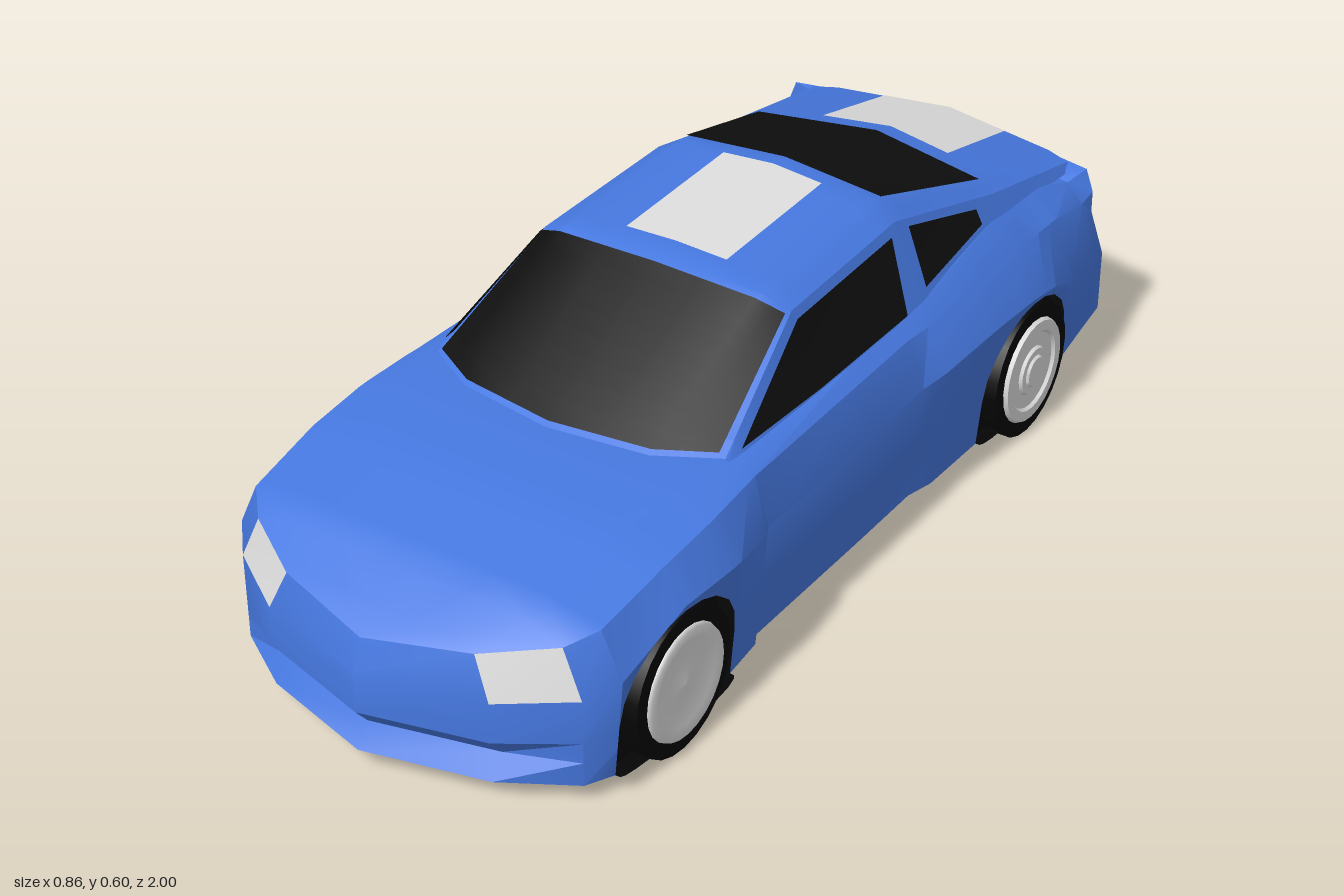
import * as THREE from 'three';
import { toCreasedNormals } from 'three/addons/utils/BufferGeometryUtils.js';

const mat = (name, color, side = THREE.FrontSide) => {
  const m = new THREE.MeshStandardMaterial({ color, side });
  m.name = name;
  return m;
};
const lerp = THREE.MathUtils.lerp;
const mirror = ([x, y, z]) => [-x, y, z];

// Body side stations: z, sill y, waist x y, shoulder x y, belt x y, centre y
const SIDE = [
  [0.78, 0.04, 0.412, 0.25, 0.37, 0.335, 0.26, 0.352, 0.358],
  [0.64, 0.04, 0.422, 0.30, 0.378, 0.362, 0.26, 0.38, 0.386],
  [0.50, 0.045, 0.425, 0.295, 0.38, 0.375, 0.29, 0.392, 0.398],
  [0.38, 0.045, 0.412, 0.285, 0.372, 0.38, 0.33, 0.395, 0.40],
  [0.355, 0.045, 0.398, 0.285, 0.37, 0.38, 0.335, 0.395, 0.40],
  [0.0, 0.045, 0.398, 0.285, 0.362, 0.38, 0.335, 0.402, 0.40],
  [-0.17, 0.045, 0.397, 0.29, 0.362, 0.385, 0.335, 0.408, 0.40],
  [-0.23, 0.045, 0.412, 0.30, 0.368, 0.385, 0.335, 0.412, 0.40],
  [-0.42, 0.048, 0.417, 0.305, 0.37, 0.392, 0.325, 0.43, 0.41],
  [-0.56, 0.055, 0.418, 0.30, 0.37, 0.392, 0.31, 0.44, 0.41],
  [-0.73, 0.065, 0.411, 0.27, 0.366, 0.385, 0.30, 0.432, 0.41],
  [-0.85, 0.073, 0.393, 0.23, 0.36, 0.36, 0.325, 0.40, 0.41],
];
const AXLES = [0.64, -0.56];
const ARCH_W = 0.165, ARCH_Y = 0.145;
const ROWS = [0, 0.27, 0.5, 1];

function station(z) {
  let i = 0;
  while (i < SIDE.length - 2 && z < SIDE[i + 1][0]) i++;
  const t = (z - SIDE[i][0]) / (SIDE[i + 1][0] - SIDE[i][0]);
  return SIDE[i].map((v, k) => lerp(v, SIDE[i + 1][k], t));
}

// One upright strip of the body side, its foot raised over a wheel if arched
function sideColumn(z, arched) {
  const [, yb, xW, yW, xS, yS, xB, yB, yC] = station(z);
  let foot = yb;
  if (arched) {
    const d = Math.min(...AXLES.map(a => Math.abs(z - a))) / ARCH_W;
    foot = ARCH_Y + 0.145 * Math.sqrt(Math.max(0, 1 - d * d));
  }
  const pts = ROWS.map(t => {
    const y = lerp(foot, yW, t);
    return [xW - 0.09 * (yW - y), y, z];
  });
  pts.push([xS, yS, z], [xB, yB, z], [xB * 0.55, lerp(yB, yC, 0.7), z], [0, yC, z]);
  return { pts, base: [pts[0][0], yb, z] };
}

// Nose or tail column: waist point, sill height, intake depth, then four upper points
function endColumn(w, yb, recess, upper, part) {
  const pts = ROWS.map((t, i) => [w[0], lerp(yb, w[1], t), w[2] - (i === 1 ? recess : 0)]);
  return { pts: [...pts, ...upper], base: pts[0], part };
}

function bodyColumns() {
  const tip = [0, 0.265, 0.975], rim = [0, 0.425, -0.952];
  const cols = [
    endColumn([0, 0.205, 1], 0.045, 0.03, [tip, tip, tip, tip]),
    endColumn([0.235, 0.205, 0.937], 0.042, 0.03,
      [[0.2, 0.285, 0.925], [0.14, 0.295, 0.92], [0.07, 0.296, 0.92], [0, 0.297, 0.922]], 'headlight'),
    endColumn([0.365, 0.215, 0.857], 0.04, 0,
      [[0.325, 0.305, 0.852], [0.25, 0.325, 0.848], [0.13, 0.33, 0.85], [0, 0.332, 0.852]]),
  ];
  const list = SIDE.map(s => [s[0], false]);
  for (const a of AXLES) {
    for (let i = list.length - 1; i >= 0; i--)
      if (Math.abs(list[i][0] - a) < ARCH_W + 0.001) list.splice(i, 1);
    for (const s of [1, -1]) list.push([a + s * (ARCH_W + 0.0005), false]);
    for (const d of [1, 0.95, 0.8, 0.55, 0.28, 0, -0.28, -0.55, -0.8, -0.95, -1]) list.push([a + d * ARCH_W, true]);
  }
  list.sort((p, q) => q[0] - p[0]);
  for (const [z, arched] of list) cols.push(sideColumn(z, arched));
  cols.push(
    endColumn([0.37, 0.21, -0.94], 0.08, 0,
      [[0.365, 0.33, -0.885], [0.362, 0.372, -0.89], [0.345, 0.418, -0.89], [0, 0.425, -0.945]], 'taillight'),
    endColumn([0, 0.21, -1], 0.08, 0, [[0, 0.33, -0.945], [0, 0.372, -0.95], rim, rim]));
  return cols;
}

// Cabin and rear deck stations, front to back: belt, upper edge, roof corner, centre
const CABIN = [
  [[0.33, 0.385, 0.365], [0.315, 0.40, 0.365], [0.2, 0.40, 0.43], [0, 0.40, 0.458]],
  [[0.335, 0.395, 0.09], [0.27, 0.545, 0.09], [0.215, 0.57, 0.105], [0, 0.58, 0.11]],
  [[0.34, 0.405, -0.27], [0.265, 0.557, -0.27], [0.215, 0.585, -0.28], [0, 0.598, -0.29]],
  [[0.315, 0.43, -0.6], [0.29, 0.475, -0.6], [0.255, 0.487, -0.615], [0, 0.502, -0.655]],
  [[0.31, 0.405, -0.89], [0.3, 0.42, -0.892], [0.25, 0.426, -0.905], [0, 0.431, -0.948]],
];
function cabinPoint(s, r, lift = 0) {
  const i = Math.min(3, Math.floor(s)), j = Math.min(2, Math.floor(r));
  return [0, 1, 2].map(k => lerp(
    lerp(CABIN[i][j][k], CABIN[i][j + 1][k], r - j),
    lerp(CABIN[i + 1][j][k], CABIN[i + 1][j + 1][k], r - j), s - i) + (k === 1 ? lift : 0));
}
// Point on the cabin flank from z and y
function flankPoint(z, y, push) {
  let i = 0;
  while (i < 2 && z < CABIN[i + 1][0][2]) i++;
  const t = (z - CABIN[i][0][2]) / (CABIN[i + 1][0][2] - CABIN[i][0][2]);
  const a = cabinPoint(i + t, 0), b = cabinPoint(i + t, 1);
  return [lerp(a[0], b[0], (y - a[1]) / (b[1] - a[1])) + push, y, z];
}

const steps = (a, b, n) => Array.from({ length: n + 1 }, (_, i) => lerp(a, b, i / n));

// Full-width surface over the cabin, mirrored about the centre line
function cabinGrid(s0, s1, n, r0, lift) {
  const rs = [r0, ...[0.5, 1, 1.5, 2, 2.5, 3].filter(r => r > r0 + 0.01)];
  return steps(s0, s1, n).map(s => {
    const half = rs.map(r => cabinPoint(s, r, lift));
    return [...half, ...half.slice(0, -1).reverse().map(mirror)];
  });
}

function geometryOf(tris, crease) {
  const g = new THREE.BufferGeometry();
  g.setAttribute('position', new THREE.Float32BufferAttribute(tris.flat(2), 3));
  g.computeVertexNormals();
  return toCreasedNormals(g, crease);
}
const area = t => {
  const [a, b, c] = t.map(p => new THREE.Vector3(...p));
  return b.sub(a).cross(c.sub(a)).length();
};
// Triangles of a grid of columns; pick(column, row) sorts cells into lists
function gridTris(cols, pick) {
  for (let c = 0; c < cols.length - 1; c++)
    for (let r = 0; r < cols[c].length - 1; r++) {
      const a = cols[c][r], b = cols[c + 1][r], d = cols[c][r + 1], e = cols[c + 1][r + 1];
      for (const t of [[a, b, e], [a, e, d]]) if (area(t) > 1e-8) pick(c, r).push(t);
    }
}

export function createModel() {
  const blue = mat('body blue', 0x4678e0), black = mat('rubber black', 0x050505, THREE.DoubleSide);
  const glass = mat('dark glass', 0x0e0e0e, THREE.DoubleSide);
  const pale = mat('pale trim', 0xdedede, THREE.DoubleSide);
  const car = new THREE.Group();
  car.name = 'car';
  const add = (name, geo, m, parent = car) => {
    const mesh = new THREE.Mesh(geo, m);
    mesh.name = name;
    parent.add(mesh);
    return mesh;
  };

  // Body shell with headlights and tail light as their own faces
  const half = bodyColumns(), n = half.length;
  const loop = [...half.map(c => c.pts), ...half.slice(0, -1).reverse().map(c => c.pts.map(mirror))];
  const lists = { body: [], headlight: [], taillight: [] };
  gridTris(loop, (c, r) => {
    const part = half[c < n - 1 ? c : 2 * n - 3 - c].part;
    return (part === 'headlight' && r === 3) || (part === 'taillight' && r === 4) ? lists[part] : lists.body;
  });
  add('bodyShell', geometryOf(lists.body, 0.5), blue);
  add('headlights', geometryOf(lists.headlight, 0.5), pale);
  add('tailLight', geometryOf(lists.taillight, 0.5), pale);

  // Floor
  const floor = [];
  gridTris(half.map(c => [c.base, mirror(c.base)]), () => floor);
  add('floor', geometryOf(floor, 0.5), black);

  // Cabin, roof and rear deck
  const panel = (name, m, s0, s1, steps_, r0, lift) => {
    const tris = [];
    gridTris(cabinGrid(s0, s1, steps_, r0, lift), () => tris);
    add(name, geometryOf(tris, 0.5), m);
  };
  panel('cabinShell', blue, 0, 4, 32, 0, 0);
  panel('windshield', glass, 0.02, 0.95, 8, 1.1, 0.006);
  panel('rearWindow', glass, 2.04, 2.97, 8, 1.97, 0.005);
  panel('sunroof', pale, 1.13, 1.94, 6, 2.49, 0.004);
  panel('deckPanel', pale, 3.15, 3.97, 6, 2.43, 0.004);

  // Side windows as fans of z, y points
  const windows = {
    doorWindow: [[0.09, 0.408], [-0.2, 0.415], [-0.237, 0.543], [0.09, 0.532], [0.33, 0.405]],
    quarterWindow: [[-0.28, 0.435], [-0.52, 0.452], [-0.52, 0.48], [-0.297, 0.54]],
  };
  for (const [name, zy] of Object.entries(windows))
    for (const s of [1, -1]) {
      const p = zy.map(([z, y]) => flankPoint(z, y, 0.007)).map(q => (s > 0 ? q : mirror(q)));
      const tris = [];
      for (let i = 1; i < p.length - 1; i++)
        tris.push(s > 0 ? [p[0], p[i], p[i + 1]] : [p[0], p[i + 1], p[i]]);
      add(name, geometryOf(tris, 0.5), glass);
    }

  // Wheels and black wheel wells
  const hubs = [
    [[0.11, 0], [0.107, 0.008], [0.085, 0.005], [0.05, 0.002], [0.02, 0.003], [0, 0.005]],
    [[0.11, 0], [0.106, 0.008], [0.085, 0.008], [0.08, 0.002], [0.052, 0.002], [0.048, 0.008], [0.034, 0.008], [0.03, 0.013], [0, 0.013]],
  ];
  AXLES.forEach((z, i) => {
    const arch = new THREE.Shape();
    arch.moveTo(ARCH_W, 0.045);
    arch.lineTo(ARCH_W, ARCH_Y);
    arch.absellipse(0, ARCH_Y, ARCH_W, 0.147, 0, Math.PI, false);
    arch.lineTo(-ARCH_W, 0.045);
    const well = new THREE.ExtrudeGeometry(arch, { depth: 0.76, bevelEnabled: false, curveSegments: 16 });
    well.translate(0, 0, -0.38).rotateY(Math.PI / 2).translate(0, 0, z);
    add('wheelWell', well, black);
    for (const s of [1, -1]) {
      const wheel = new THREE.Group();
      wheel.name = i ? 'rearWheel' : 'frontWheel';
      wheel.position.set(s * 0.36, 0.14, z);
      wheel.rotation.z = -s * Math.PI / 2;
      add('tyre', new THREE.CylinderGeometry(0.14, 0.14, 0.116, 24), black, wheel);
      const hub = new THREE.LatheGeometry(hubs[i].map(p => new THREE.Vector2(...p)), 24);
      add('hub', i ? toCreasedNormals(hub, 0.5) : hub, pale, wheel).position.y = 0.058;
      car.add(wheel);
    }
  });
  return car;
}
